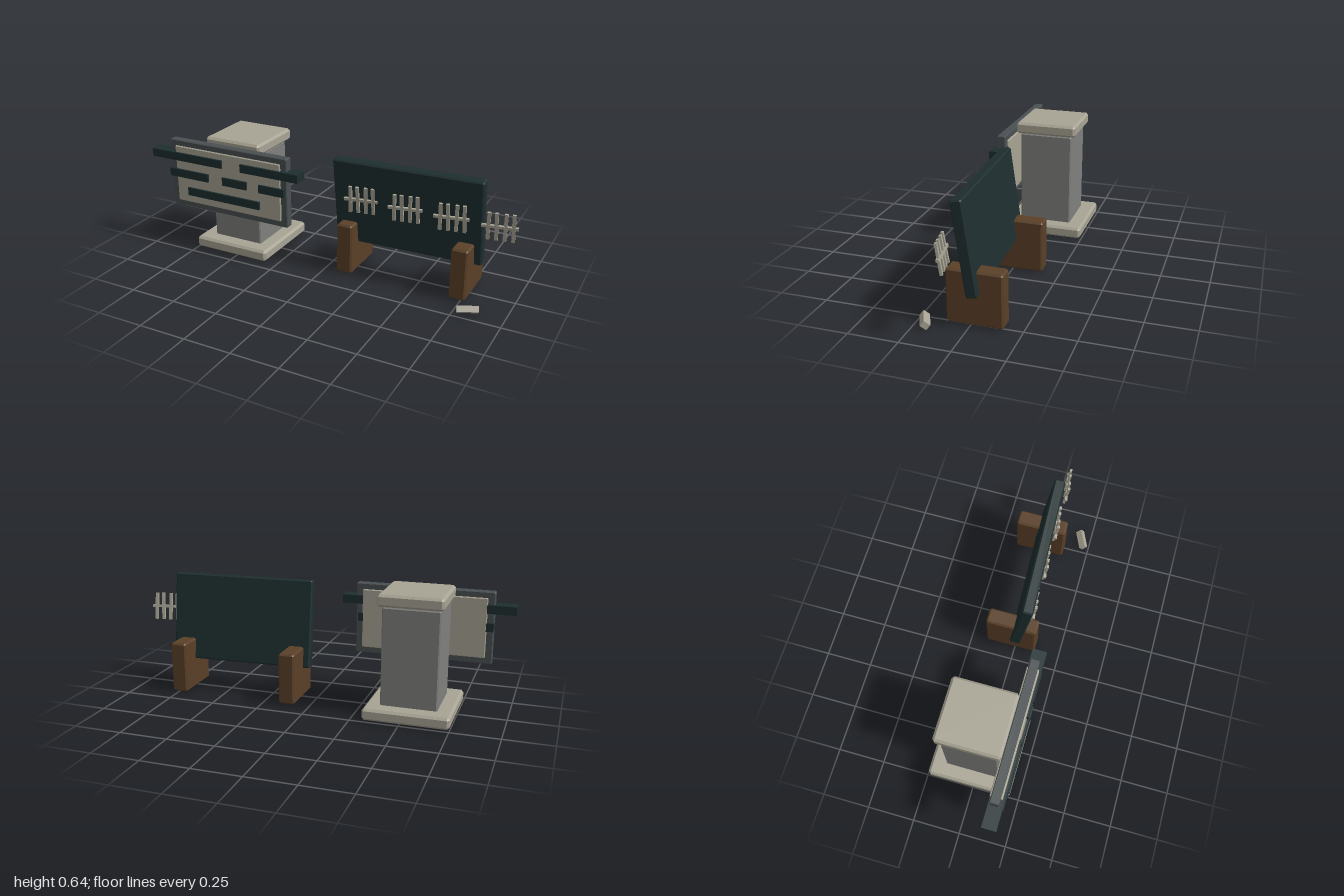
import * as THREE from 'three';
import { ConvexGeometry } from 'three/addons/geometries/ConvexGeometry.js';

const mat = (name, color) => {
  const m = new THREE.MeshStandardMaterial({ color });
  m.name = name;
  return m;
};

// box with chamfered edges: each corner becomes three points
function chamferBox(w, h, d, c) {
  const pts = [];
  for (const sx of [-1, 1]) for (const sy of [-1, 1]) for (const sz of [-1, 1]) {
    const x = w / 2, y = h / 2, z = d / 2;
    pts.push(
      new THREE.Vector3(sx * x, sy * (y - c), sz * (z - c)),
      new THREE.Vector3(sx * (x - c), sy * y, sz * (z - c)),
      new THREE.Vector3(sx * (x - c), sy * (y - c), sz * z));
  }
  return new ConvexGeometry(pts);
}

export function createModel() {
  const stone = mat('pale stone', 0xa8a494);
  const grey = mat('grey stone', 0x7f7f7d);
  const iron = mat('dark grey frame', 0x4a5052);
  const slate = mat('dark slate', 0x1e2e2f);
  const wood = mat('brown wood', 0x5a4028);
  const model = new THREE.Group();

  // block given by its limits on each axis
  function block(name, m, [x0, x1], [y0, y1], [z0, z1], chamfer = 0) {
    const w = x1 - x0, h = y1 - y0, d = z1 - z0;
    const geo = chamfer ? chamferBox(w, h, d, chamfer) : new THREE.BoxGeometry(w, h, d);
    const mesh = new THREE.Mesh(geo, m);
    mesh.name = name;
    mesh.position.set((x0 + x1) / 2, (y0 + y1) / 2, (z0 + z1) / 2);
    model.add(mesh);
    return mesh;
  }

  // pedestal
  block('pedestalBase', stone, [-0.75, -0.31], [0.005, 0.067], [-0.245, 0.2], 0.012);
  block('pedestalColumn', grey, [-0.675, -0.385], [0.06, 0.572], [-0.165, 0.122], 0.006);
  block('pedestalCap', stone, [-0.692, -0.362], [0.577, 0.64], [-0.19, 0.145], 0.012);

  // framed sign, its panel showing on both sides
  block('signFrame', iron, [-0.89, -0.17], [0.235, 0.613], [0.146, 0.192], 0.004);
  block('signPanel', stone, [-0.855, -0.205], [0.267, 0.582], [0.137, 0.2], 0.004);

  // raised bars across the sign: [y, x start, x end]
  const bars = [
    [0.525, -1, -0.555], [0.525, -0.44, -0.097],
    [0.431, -0.89, -0.645], [0.431, -0.555, -0.405], [0.431, -0.33, -0.18],
    [0.334, -0.78, -0.33],
  ];
  for (const [y, x0, x1] of bars)
    block('signBar', slate, [x0, x1], [y - 0.022, y + 0.022], [0.138, 0.211]);

  // leaning board on two wooden feet
  const board = new THREE.Mesh(chamferBox(0.775, 0.466, 0.057, 0.007), slate);
  board.name = 'board';
  board.position.set(0.428, 0.395, 0.022);
  board.rotation.set(0.138, 0.043, 0, 'YXZ');
  model.add(board);
  for (const x of [0.117, 0.734])
    block('boardFoot', wood, [x - 0.043, x + 0.043], [0.008, 0.28], [-0.163, 0.113], 0.009);

  // tally marks: four uprights and a crossbar each
  for (let i = 0; i < 4; i++) {
    const tally = new THREE.Group();
    tally.name = 'tallyMark';
    tally.position.set(0.191 + i * 0.2385, 0.419, 0.075 - i * 0.0037);
    tally.rotation.set(0.145, 0.16, 0, 'YXZ');
    [-0.054, -0.016, 0.026, 0.064].forEach((x, k) => {
      const stroke = new THREE.Mesh(new THREE.BoxGeometry(0.017, 0.148, 0.012), stone);
      stroke.name = 'tallyStroke';
      stroke.position.x = x;
      stroke.rotation.z = k % 2 ? 0.02 : -0.02;
      tally.add(stroke);
    });
    const cross = new THREE.Mesh(new THREE.BoxGeometry(0.174, 0.014, 0.014), stone);
    cross.name = 'tallyCrossbar';
    tally.add(cross);
    model.add(tally);
  }

  // stick of chalk on the ground
  const chalk = new THREE.Mesh(new THREE.BoxGeometry(0.105, 0.031, 0.037), stone);
  chalk.name = 'chalk';
  chalk.position.set(0.82, 0.024, 0.2);
  chalk.rotation.set(-0.67, 0.42, 0, 'YXZ');
  model.add(chalk);

  return model;
}
